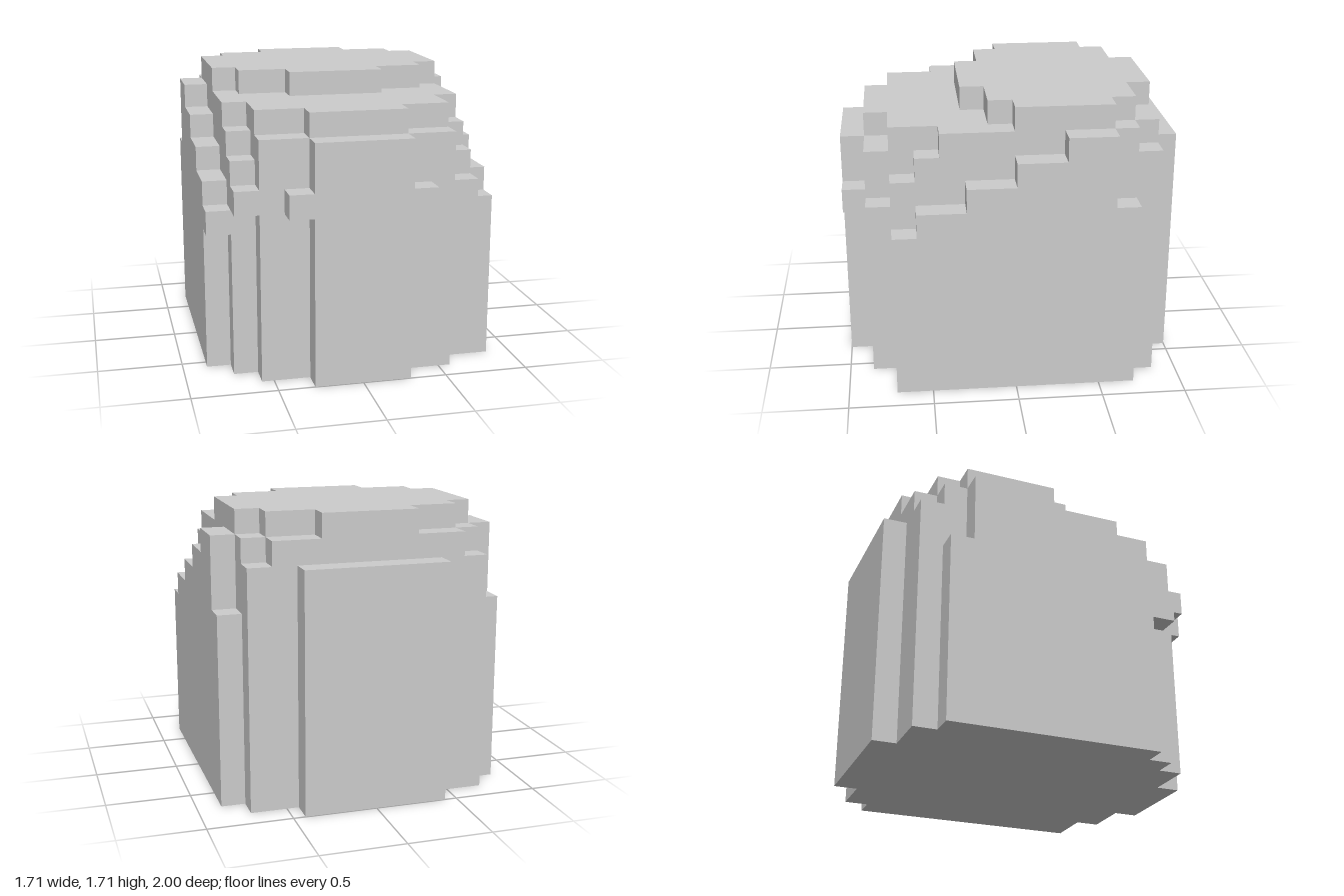
import * as THREE from 'three';
import { mergeGeometries } from 'three/addons/utils/BufferGeometryUtils.js';

const U = 1 / 7; // size of one block

// Blocks as [x0, x1, y0, y1, z0, z1] in block units
const mirror = ([x0, x1, ...rest]) => [[x0, x1, ...rest], [-x1, -x0, ...rest]];
const both = (...boxes) => boxes.flatMap(mirror);

// Stepped side walls: they drop one block for every two blocks forward
const steps = [[5, 6, 0, 8, -5, -4]];
for (let i = 0; i < 4; i++) steps.push([5, 6, 0, 11 - i, -4 + 2 * i, -2 + 2 * i]);

const PARTS = {
  core: both(
    [0, 2, 0, 11, -6, 6],
    [2, 4, 0, 11, -6, 5], [2, 4, 0, 10, 5, 6],
    [4, 5, 0, 10, -6, -5], [4, 5, 0, 11, -5, 3], [4, 5, 0, 10, 3, 4], [4, 5, 0, 9, 4, 5],
  ),
  crown: both([0, 2, 11, 12, -6, 2], [2, 4, 11, 12, -5, 1], [4, 5, 11, 12, -4, 0]),
  sideSteps: both(...steps),
  leftFrontCorner: [[5, 6, 0, 7, 4, 5]],
  rightFrontCorner: [[-6, -5, 6, 7, 4, 5]],
  frontPanel: both([0, 2, 0, 10, 6, 7]),
  frontKnobs: both([2, 3, 7, 8, 6, 7], [4, 5, 7, 8, 5, 6]),
  backPanel: both([0, 3, 0, 10, -7, -6]),
};

const key = (x, y, z) => `${x},${y},${z}`;

// List the cells inside a box
function cellsOf([x0, x1, y0, y1, z0, z1]) {
  const cells = [];
  for (let x = x0; x < x1; x++)
    for (let y = y0; y < y1; y++)
      for (let z = z0; z < z1; z++) cells.push([x, y, z]);
  return cells;
}

// One square per side of a block, facing outwards
const SIDES = [[1, 0, 0], [-1, 0, 0], [0, 1, 0], [0, -1, 0], [0, 0, 1], [0, 0, -1]].map((dir) => {
  const face = new THREE.PlaneGeometry(U, U);
  const normal = new THREE.Vector3(...dir);
  const turn = new THREE.Quaternion().setFromUnitVectors(new THREE.Vector3(0, 0, 1), normal);
  face.applyQuaternion(turn).translate(...dir.map((d) => (d * U) / 2));
  return { dir, face };
});

export function createModel() {
  const group = new THREE.Group();
  group.name = 'steppedBlockForm';
  const material = new THREE.MeshStandardMaterial({ color: 0xcccccc, flatShading: true });

  const filled = new Set();
  for (const boxes of Object.values(PARTS))
    for (const box of boxes) for (const c of cellsOf(box)) filled.add(key(...c));

  // Keep only the squares that lie on the outside
  for (const [name, boxes] of Object.entries(PARTS)) {
    const faces = [];
    for (const [x, y, z] of boxes.flatMap(cellsOf)) {
      for (const { dir, face } of SIDES) {
        if (filled.has(key(x + dir[0], y + dir[1], z + dir[2]))) continue;
        faces.push(face.clone().translate((x + 0.5) * U, (y + 0.5) * U, (z + 0.5) * U));
      }
    }
    const mesh = new THREE.Mesh(mergeGeometries(faces), material);
    mesh.name = name;
    group.add(mesh);
  }
  return group;
}
